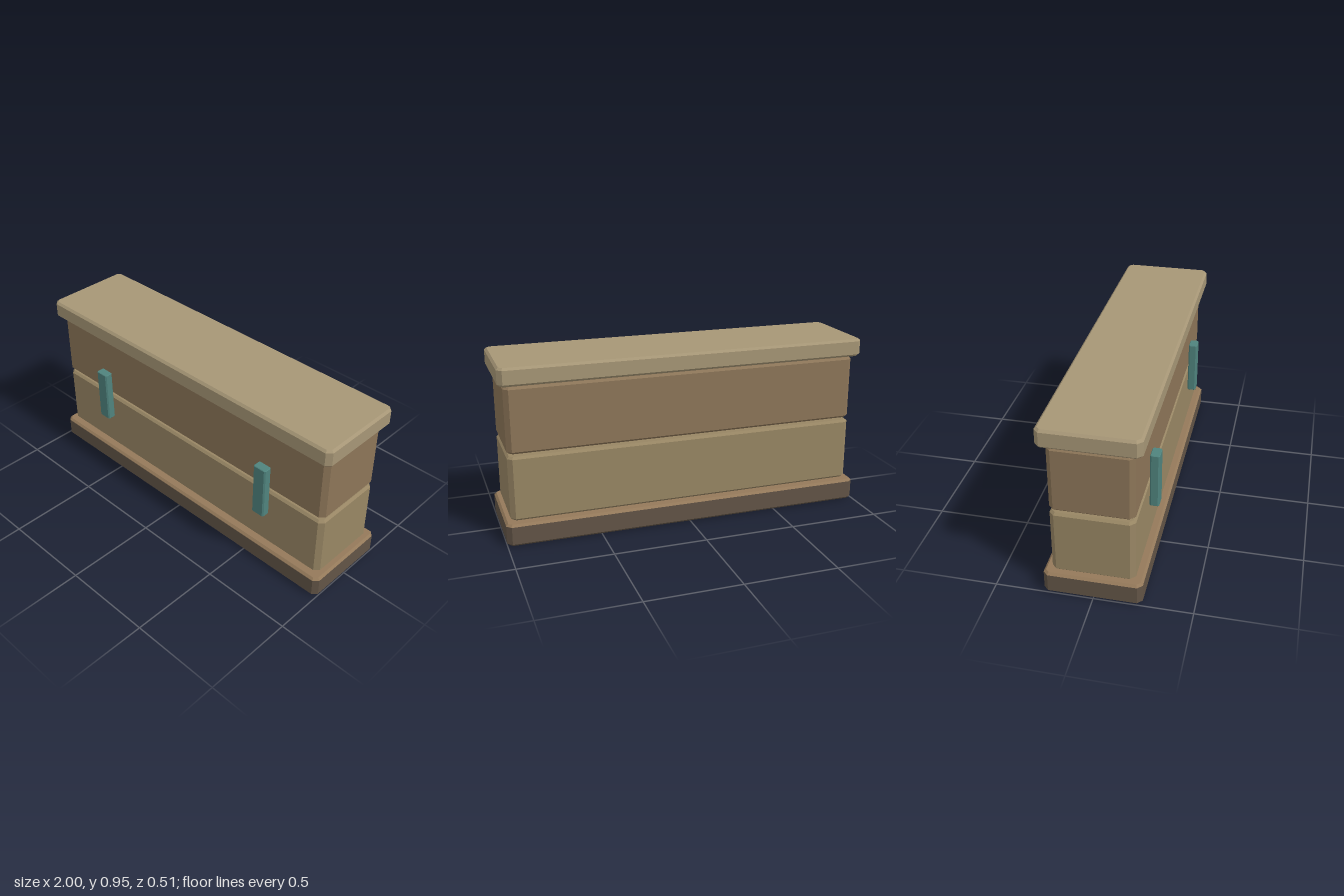
import * as THREE from 'three';

const Z_MID = -0.005;

// Octagonal outline of a rectangle with cut corners, counter-clockwise from above
function ring(w, d, cut, y) {
  const x = w / 2, z = d / 2;
  return [
    [x, z - cut], [x, cut - z], [x - cut, -z], [cut - x, -z],
    [-x, cut - z], [-x, z - cut], [cut - x, z], [x - cut, z],
  ].map(([px, pz]) => new THREE.Vector3(px, y, pz));
}

// Joins outlines from bottom to top and closes the chosen ends
function loft(rings, capBottom = true, capTop = true) {
  const points = [];
  for (let r = 0; r < rings.length - 1; r++) {
    const lo = rings[r], hi = rings[r + 1];
    for (let i = 0; i < 8; i++) {
      const j = (i + 1) % 8;
      points.push(lo[i], lo[j], hi[j], lo[i], hi[j], hi[i]);
    }
  }
  const first = rings[0], last = rings[rings.length - 1];
  for (let i = 1; i < 7; i++) {
    if (capBottom) points.push(first[0], first[i + 1], first[i]);
    if (capTop) points.push(last[0], last[i], last[i + 1]);
  }
  const geometry = new THREE.BufferGeometry().setFromPoints(points);
  geometry.computeVertexNormals();
  return geometry;
}

// Four outlines of a block with chamfered rims
function blockRings(w, d, y0, y1, cut, bevel) {
  const inner = cut - bevel * 0.586;
  return [
    ring(w - 2 * bevel, d - 2 * bevel, inner, y0),
    ring(w, d, cut, y0 + bevel),
    ring(w, d, cut, y1 - bevel),
    ring(w - 2 * bevel, d - 2 * bevel, inner, y1),
  ];
}

export function createModel() {
  const model = new THREE.Group();
  model.name = 'storageChest';

  function add(name, geometry, color, x = 0, z = Z_MID) {
    const material = new THREE.MeshStandardMaterial({ color, flatShading: true });
    const mesh = new THREE.Mesh(geometry, material);
    mesh.name = name;
    mesh.position.set(x, 0, z);
    model.add(mesh);
  }

  // Dark plinth with a lighter wooden top
  const base = blockRings(2, 0.5, 0, 0.12, 0.025, 0.012);
  add('base', loft(base.slice(0, 3), true, false), 0x625446);
  add('baseTop', loft(base.slice(2), false, true), 0x94795a);

  // Two stacked body sections and the overhanging lid
  add('lowerBody', loft(blockRings(1.94, 0.42, 0.123, 0.473, 0.025, 0.012)), 0x988664);
  add('upperBody', loft(blockRings(1.94, 0.42, 0.488, 0.84, 0.025, 0.012)), 0x8c7558);
  add('lid', loft(blockRings(2, 0.5, 0.853, 0.95, 0.025, 0.012)), 0xa69676);

  // Upright clasps across the front seam
  for (const [name, x] of [['leftClasp', 0.6], ['rightClasp', -0.6]]) {
    add(name, loft(blockRings(0.078, 0.049, 0.335, 0.637, 0.007, 0.003)), 0x4f837d, x, 0.2325);
  }
  return model;
}
